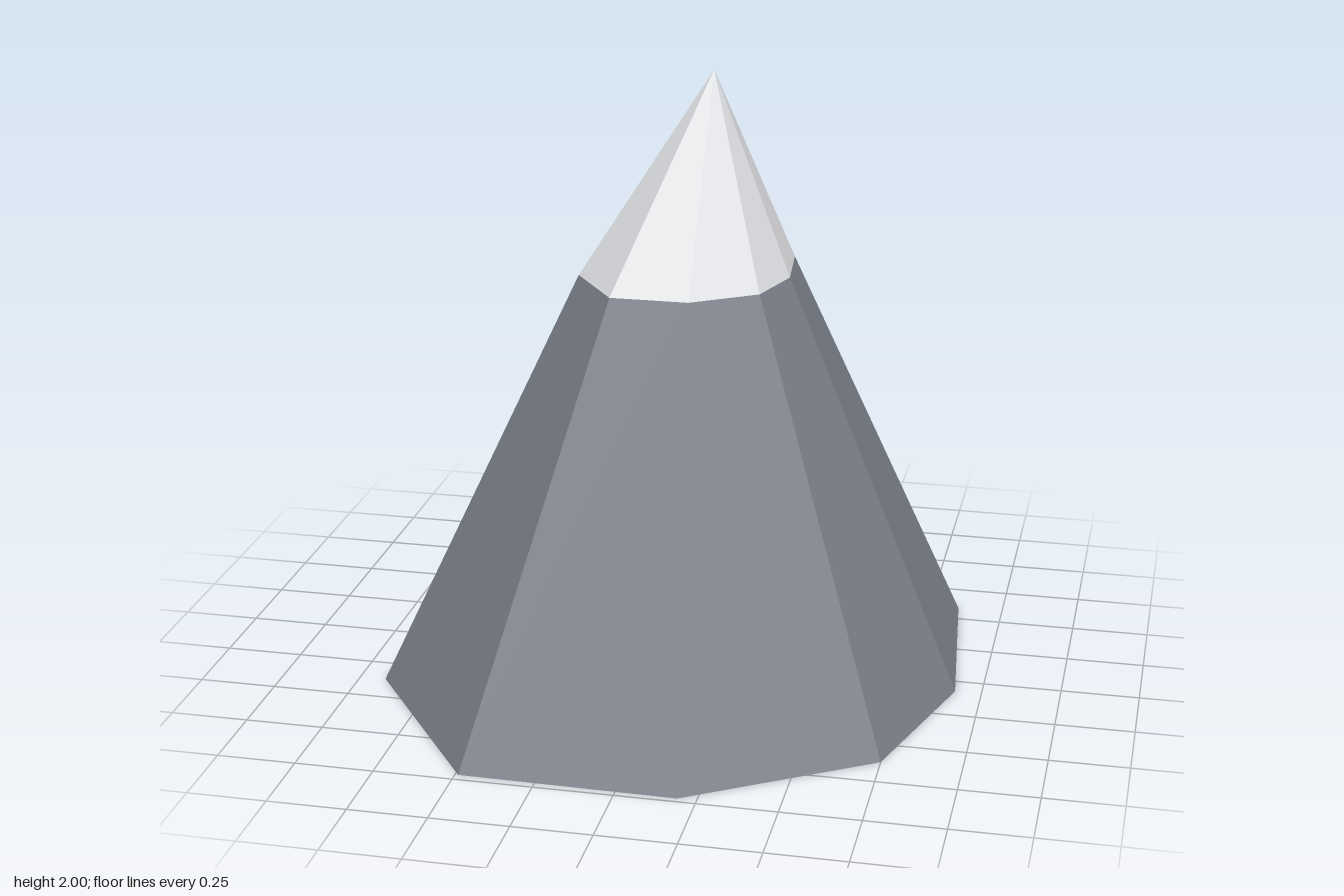
import * as THREE from 'three';

// Outlines as [x, z], running from the back round by the model's left
const baseRing = [
  [0.2, -0.98], [0.85, -0.59], [0.915, 0.075], [0.75, 0.62], [0.19, 0.98],
  [-0.49, 0.97], [-0.915, 0.37], [-0.85, -0.23], [-0.38, -0.645],
];
const snowRing = [
  [0.1, -0.3], [0.33, -0.165], [0.355, 0.07], [0.295, 0.265], [0.1, 0.395],
  [-0.145, 0.395], [-0.295, 0.18], [-0.27, -0.035], [-0.107, -0.18],
];
const snowLine = 1.36;
const peak = [0.105, 2, 0.035];

const at = (ring, y) => ring.map(([x, z]) => [x, y, z]);

// Facets between two outlines; a single upper point makes a cone
function facets(lower, upper) {
  const points = [];
  const n = lower.length;
  for (let i = 0; i < n; i++) {
    const j = (i + 1) % n;
    if (upper.length === 1) {
      points.push(...lower[j], ...lower[i], ...upper[0]);
    } else {
      points.push(...lower[j], ...lower[i], ...upper[i]);
      points.push(...lower[j], ...upper[i], ...upper[j]);
    }
  }
  const geometry = new THREE.BufferGeometry();
  geometry.setAttribute('position', new THREE.Float32BufferAttribute(points, 3));
  geometry.computeVertexNormals();
  return geometry;
}

function material(name, color) {
  const m = new THREE.MeshStandardMaterial({ color, flatShading: true, side: THREE.DoubleSide });
  m.name = name;
  return m;
}

export function createModel() {
  const group = new THREE.Group();
  group.name = 'mountain';

  // Rocky slopes, open underneath
  const slopes = new THREE.Mesh(
    facets(at(baseRing, 0), at(snowRing, snowLine)), material('rock grey', 0x7d828c));
  slopes.name = 'rockSlopes';

  // Snow-covered summit
  const cap = new THREE.Mesh(
    facets(at(snowRing, snowLine), [peak]), material('snow white', 0xf0f1f4));
  cap.name = 'snowCap';

  group.add(slopes, cap);
  return group;
}
